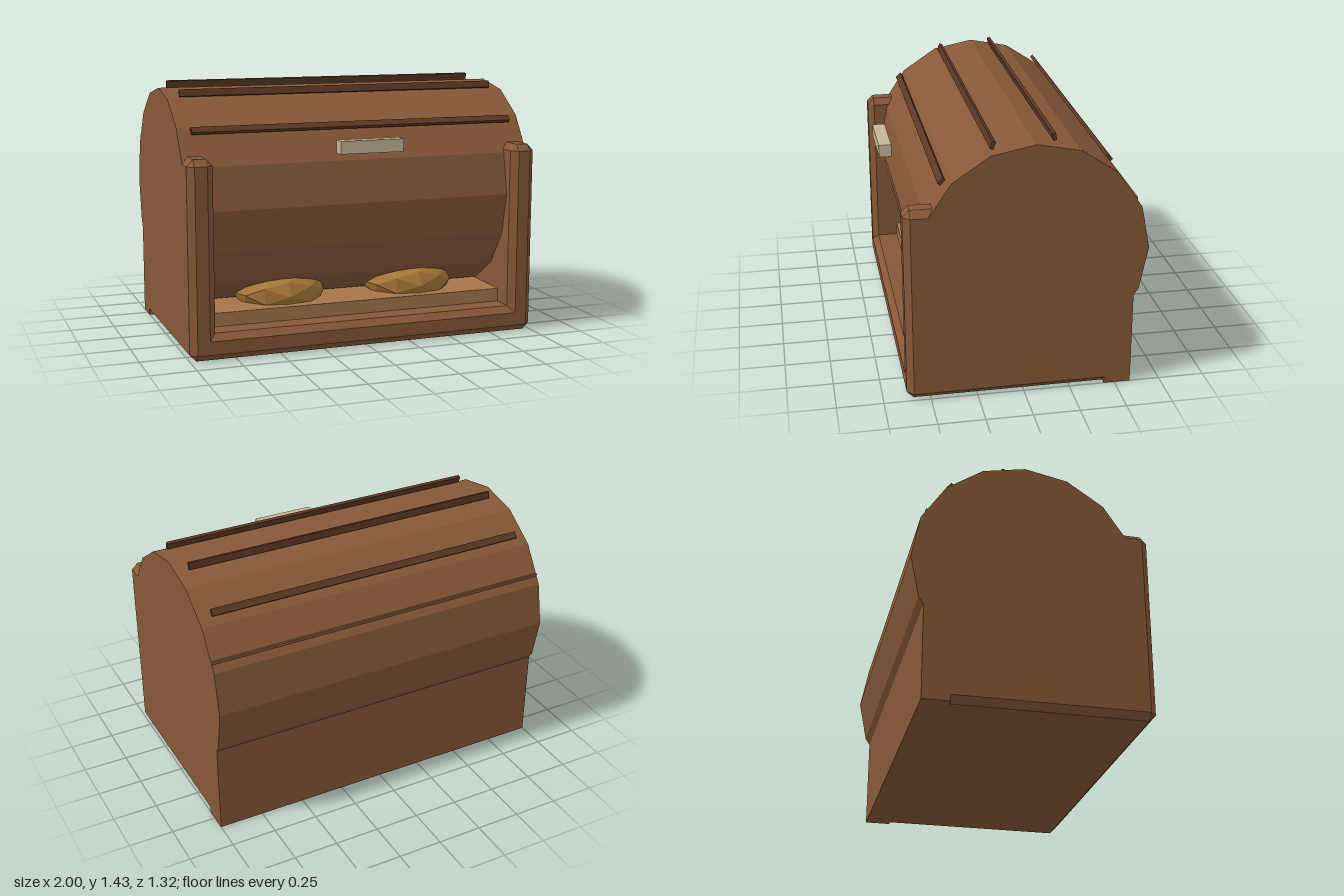
import * as THREE from 'three';

const mat = (name, color) => {
  const m = new THREE.MeshStandardMaterial({ color, flatShading: true });
  m.name = name;
  return m;
};

// U-shaped frame: bevelled front edge and chamfered corners, swept from front to back
function frameGeometry() {
  const b = 0.036, w = 1, i = 0.86, h = 1.075, f = 0.145;
  // counterclockwise outline seen from the front: x, y, convex corner?
  const corners = [[-w, 0, 1], [w, 0, 1], [w, h, 1], [i, h, 1], [i, f, 0], [-i, f, 0], [-i, h, 1], [-w, h, 1]];
  const n = corners.length, front = [], side = [], face = [];
  corners.forEach(([x, y, convex], k) => {
    const step = (j) => {
      const q = corners[(j + n) % n];
      return [Math.sign(q[0] - x), Math.sign(q[1] - y)];
    };
    const p = step(k - 1), q = step(k + 1), s = convex ? b : -b;
    const inset = [x + s * (p[0] + q[0]), y + s * (p[1] + q[1])];
    face.push(new THREE.Vector2(...inset));
    front.push(inset, inset);
    if (convex) side.push([x + b * p[0], y + b * p[1]], [x + b * q[0], y + b * q[1]]);
    else side.push([x, y], [x, y]);
  });
  const rings = [[front, 0.625], [side, 0.589], [side, -0.45]];
  const pos = [], m = front.length;
  for (let r = 0; r < 2; r++) {
    const [A, za] = rings[r], [B, zb] = rings[r + 1];
    for (let k = 0; k < m; k++) {
      const l = (k + 1) % m;
      const a = [...A[k], za], c = [...A[l], za], d = [...B[k], zb], e = [...B[l], zb];
      pos.push(...a, ...d, ...e, ...a, ...e, ...c);
    }
  }
  // front face
  for (const tri of THREE.ShapeUtils.triangulateShape(face, []))
    for (const v of tri) pos.push(face[v].x, face[v].y, 0.625);
  const g = new THREE.BufferGeometry();
  g.setAttribute('position', new THREE.Float32BufferAttribute(pos, 3));
  g.computeVertexNormals();
  return g;
}

export function createModel() {
  const root = new THREE.Group();
  root.name = 'breadBox';
  const wood = mat('brown wood', 0x875838);
  const dark = mat('dark wood', 0x5c3724);
  const tan = mat('tan wood', 0xa8764a);
  const crust = mat('golden crust', 0xa87838);
  const ivory = mat('pale handle', 0xc6b698);

  const add = (name, geo, material, x = 0, y = 0, z = 0) => {
    const mesh = new THREE.Mesh(geo, material);
    mesh.name = name;
    mesh.position.set(x, y, z);
    root.add(mesh);
    return mesh;
  };
  const box = (name, material, sx, sy, sz, x, y, z) =>
    add(name, new THREE.BoxGeometry(sx, sy, sz), material, x, y, z);

  // Body
  add('frame', frameGeometry(), wood);
  box('backPanel', wood, 2, 1.075, 0.145, 0, 0.5375, -0.5145);
  box('shelf', tan, 1.72, 0.08, 0.92, 0, 0.18, 0.01);

  // Roll top
  const cy = 0.788, cz = -0.052;
  const drum = new THREE.CylinderGeometry(0.607, 0.607, 2, 16);
  drum.rotateZ(Math.PI / 2);
  add('rollTop', drum, wood, 0, cy, cz);

  // Thin slats along the roll top
  for (let k = 0; k < 4; k++) {
    const a = THREE.MathUtils.degToRad(138.6 - 29.2 * k), r = 0.627;
    const slat = box('slat', dark, 1.86, 0.039, 0.019, 0, cy + r * Math.sin(a), cz - r * Math.cos(a));
    slat.rotation.x = Math.PI / 2 - a;
  }

  // Handle
  box('handle', ivory, 0.36, 0.07, 0.07, 0, 1.11, 0.625);

  // Loaves
  for (const s of [-1, 1]) {
    const loaf = new THREE.IcosahedronGeometry(1, 1);
    loaf.scale(0.27, 0.14, 0.24);
    add('loaf', loaf, crust, s * 0.39, 0.265, 0.2);
  }
  return root;
}
